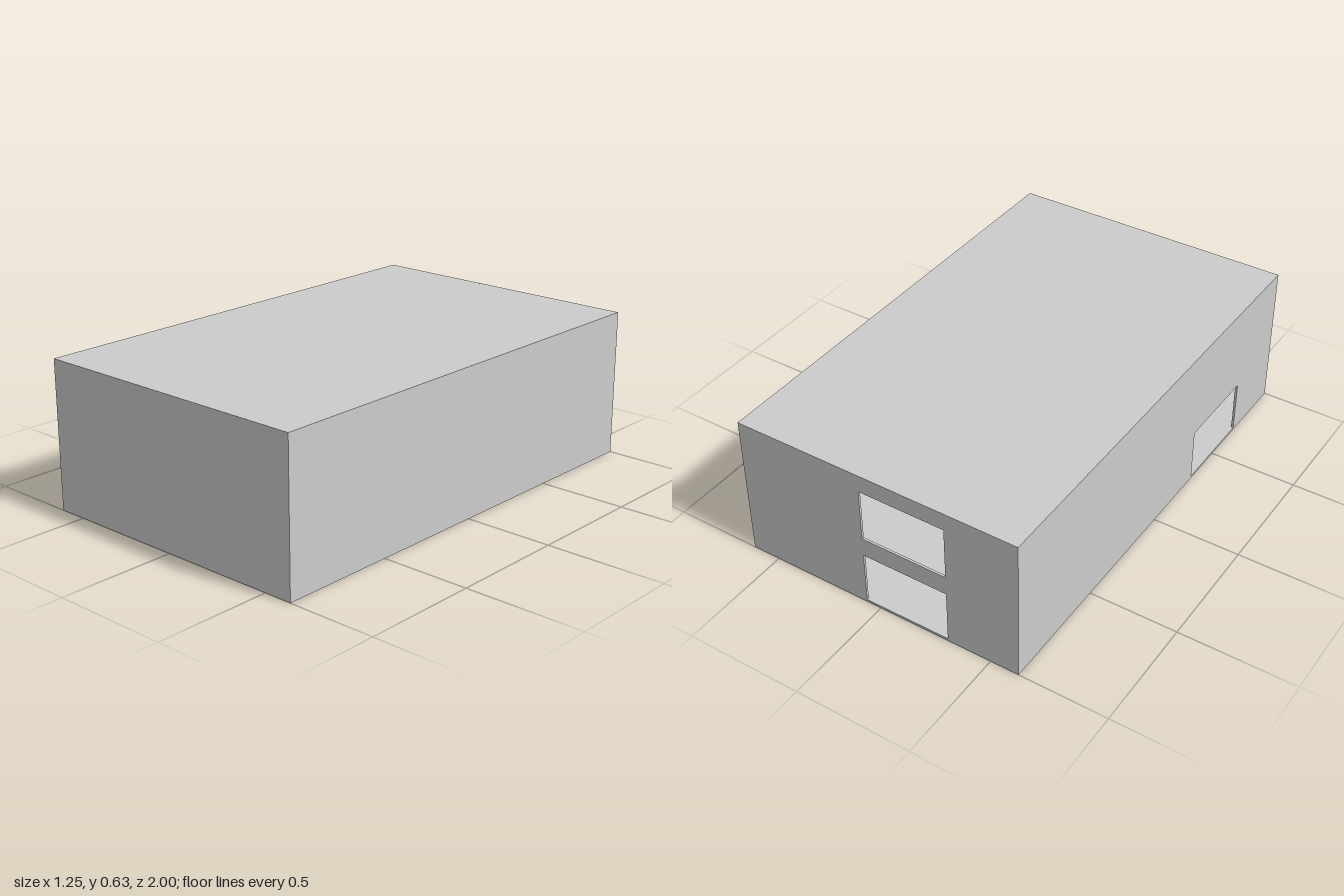
import * as THREE from 'three';

const W = 1.245, H = 0.627, L = 2, T = 0.01; // outer size and wall thickness

export function createModel() {
  const model = new THREE.Group();
  const material = new THREE.MeshStandardMaterial({ color: 0xcccccc, flatShading: true });

  const add = (name, geometry, x, y, z) => {
    const mesh = new THREE.Mesh(geometry, material);
    mesh.name = name;
    mesh.position.set(x, y, z);
    model.add(mesh);
    return mesh;
  };

  const trace = (path, x0, y0, x1, y1) => {
    path.moveTo(x0, y0);
    path.lineTo(x1, y0);
    path.lineTo(x1, y1);
    path.lineTo(x0, y1);
    path.closePath();
    return path;
  };

  // Upright panel centred on its width, with rectangular openings [x0, y0, x1, y1]
  const panel = (width, openings = []) => {
    const shape = trace(new THREE.Shape(), -width / 2, 0, width / 2, H);
    for (const o of openings) shape.holes.push(trace(new THREE.Path(), ...o));
    return new THREE.ExtrudeGeometry(shape, { depth: T, bevelEnabled: false });
  };

  // Front wall is closed, back wall has a doorway with a second opening above it
  add('frontWall', panel(W), 0, 0, L / 2 - T);
  const backOpenings = [T, 0.322].map((y) => [-0.31, y, 0.065, y + 0.229]);
  add('backWall', panel(W, backOpenings), 0, 0, -L / 2);

  // Side walls fit between them, the right one has a doorway near the front
  const sideLength = L - 2 * T;
  const right = panel(sideLength, [[0.31, T, 0.693, 0.238]]);
  add('rightWall', right, -W / 2 + T, 0, 0).rotation.y = -Math.PI / 2;
  add('leftWall', panel(sideLength), W / 2, 0, 0).rotation.y = -Math.PI / 2;

  // Floor and roof slabs close the hollow shell
  const slab = new THREE.BoxGeometry(W - 2 * T, T, sideLength);
  add('floor', slab, 0, T / 2, 0);
  add('roof', slab, 0, H - T / 2, 0);

  return model;
}
